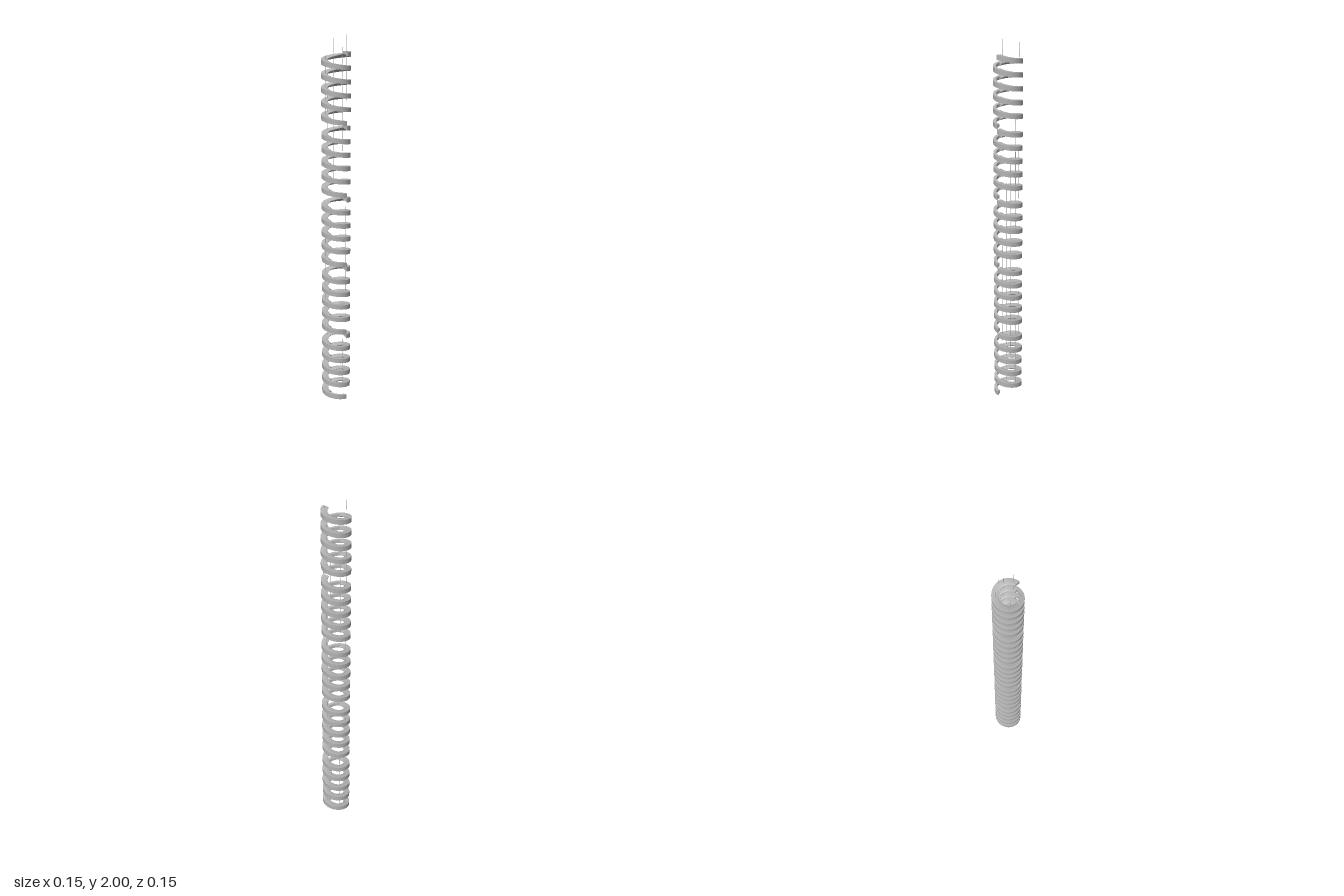
import * as THREE from 'three';
import { toCreasedNormals } from 'three/addons/utils/BufferGeometryUtils.js';

const RAD = Math.PI / 180;
const SEGMENTS = 5, TURNS = 5;
const PERIOD = 0.384, PITCH = 0.0718, THICK = 0.025;
const START = 33, NOTCH_END = 117;

// band cross-sections as [radius, height], counter-clockwise
const FULL = [[0.077, 0], [0.077, THICK], [0.052, THICK], [0.043, 0.021], [0.043, 0.017]];
const NOTCHED = [[0.077, 0], [0.077, THICK], [0.062, THICK], [0.06, THICK], [0.06, 0.009]];

// helical band whose inner lip is cut away at the front of every turn
function helixGeometry() {
  const pos = [], idx = [], n = FULL.length;
  let rings = 0;
  const addRing = (profile, deg) => {
    const rise = PITCH * (deg - START) / 360;
    for (const [r, y] of profile) {
      pos.push(r * Math.cos(deg * RAD), y + rise, r * Math.sin(deg * RAD));
    }
    rings++;
  };
  const addArc = (profile, from, to, steps) => {
    for (let i = 0; i <= steps; i++) addRing(profile, from + (to - from) * i / steps);
  };
  for (let t = 0; t < TURNS; t++) {
    const base = t * 360;
    addArc(NOTCHED, base + START, base + NOTCH_END, 16);
    addArc(FULL, base + NOTCH_END, base + START + 360, 52);
  }
  for (let i = 0; i < rings - 1; i++) {
    for (let j = 0; j < n; j++) {
      const a = i * n + j, b = i * n + (j + 1) % n;
      idx.push(a, b, a + n, b, b + n, a + n);
    }
  }
  // end caps
  const last = (rings - 1) * n;
  for (let j = 1; j < n - 1; j++) {
    idx.push(0, j + 1, j);
    idx.push(last, last + j, last + j + 1);
  }
  const g = new THREE.BufferGeometry();
  g.setAttribute('position', new THREE.Float32BufferAttribute(pos, 3));
  g.setIndex(idx);
  return toCreasedNormals(g, 25 * RAD);
}

export function createModel() {
  const model = new THREE.Group();
  model.name = 'spiralTower';
  const grey = new THREE.MeshStandardMaterial({ color: 0xb4b4b4 });
  grey.name = 'grey';

  const band = helixGeometry();
  const wire = new THREE.CylinderGeometry(0.0005, 0.0005, 1, 5);
  const wireAngles = [158, 208, 250, 300, 330, 375];

  for (let s = 0; s < SEGMENTS; s++) {
    const segment = new THREE.Group();
    segment.name = 'spiralSegment' + (s + 1);
    segment.position.y = s * PERIOD;

    const ramp = new THREE.Mesh(band, grey);
    ramp.name = 'spiralRamp';
    segment.add(ramp);

    // hair-thin posts standing on the ramp
    for (let t = 0; t < TURNS; t++) {
      const height = t === TURNS - 1 ? 0.0836 : PITCH - 0.01;
      for (const deg of wireAngles) {
        const post = new THREE.Mesh(wire, grey);
        const foot = THICK + PITCH * (t + (deg - START) / 360);
        post.name = 'thinPost';
        post.scale.y = height;
        post.position.set(0.057 * Math.cos(deg * RAD), foot + height / 2, 0.057 * Math.sin(deg * RAD));
        segment.add(post);
      }
    }
    model.add(segment);
  }
  return model;
}
